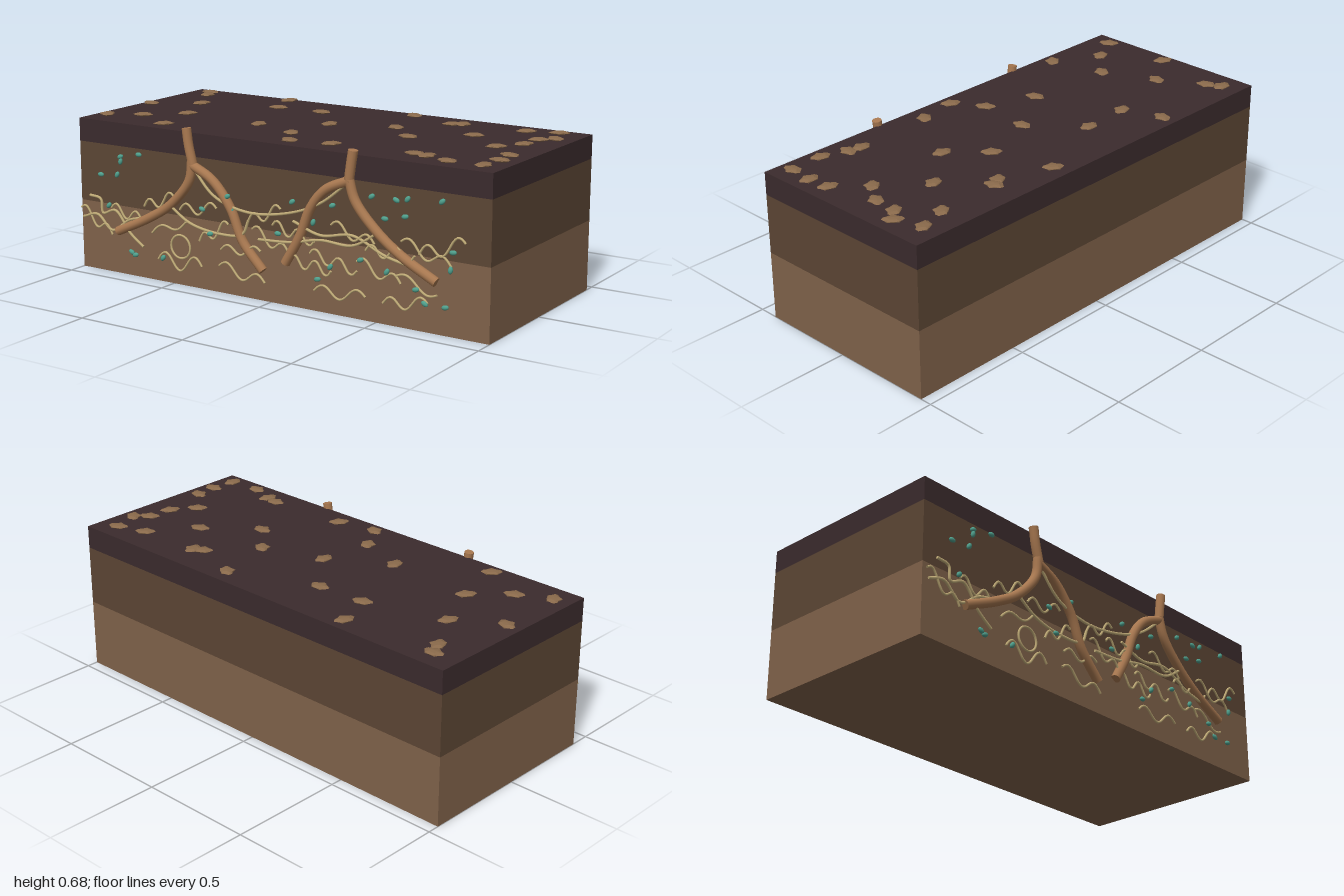
import * as THREE from 'three';

const mat = (name, color) => {
  const m = new THREE.MeshStandardMaterial({ color });
  m.name = name;
  return m;
};

export function createModel() {
  const model = new THREE.Group();
  model.name = 'soilBlock';
  const topsoil = mat('dark topsoil', 0x3b2b2d);
  const midsoil = mat('brown soil', 0x5c4634);
  const subsoil = mat('light subsoil', 0x80624a);
  const litter = mat('leaf litter', 0x8a6a4b);
  const bark = mat('root bark', 0xa87850);
  const thread = mat('pale fungus', 0xc2ad78);
  const teal = mat('teal microbe', 0x4f9f8c);

  const add = (name, geometry, material, parent = model) => {
    const mesh = new THREE.Mesh(geometry, material);
    mesh.name = name;
    parent.add(mesh);
    return mesh;
  };
  const group = (name) => {
    const g = new THREE.Group();
    g.name = name;
    model.add(g);
    return g;
  };

  // Soil layers, stacked from the bottom
  for (const [name, y0, y1, m] of [
    ['subsoilLayer', 0, 0.3, subsoil],
    ['middleLayer', 0.3, 0.56, midsoil],
    ['topsoilLayer', 0.56, 0.66, topsoil],
  ]) {
    add(name, new THREE.BoxGeometry(2, y1 - y0, 0.865), m).position.set(0, (y0 + y1) / 2, -0.0175);
  }

  // Leaf litter: flat ragged flakes [x, z, yaw]
  const flakeGeo = new THREE.IcosahedronGeometry(1, 1);
  const p = flakeGeo.attributes.position;
  for (let i = 0; i < p.count; i++) {
    const a = Math.atan2(p.getZ(i), p.getX(i));
    const r = 1 + 0.13 * Math.sin(5 * a) + 0.08 * Math.cos(8 * a);
    p.setXYZ(i, p.getX(i) * r * 0.042, p.getY(i) * 0.008, p.getZ(i) * r * 0.029);
  }
  flakeGeo.computeVertexNormals();
  const flakes = group('leafLitter');
  [
    [-0.89, -0.37, 0], [-0.86, -0.31, 1.9], [-0.46, -0.39, 1.3], [-0.75, -0.12, 1.2], [-0.4, -0.22, 0.3],
    [-0.18, -0.23, 0], [-0.94, 0, -0.4], [-0.65, 0.11, 0.9], [-0.79, 0.24, 0.4], [-0.93, 0.31, -1],
    [-0.59, 0.35, 0.7], [-0.25, 0.14, 1.8], [-0.03, 0.22, -1], [0, -0.02, 1.57], [0.2, -0.38, -0.6],
    [0.43, -0.3, 0.5], [0.47, -0.32, 1.8], [0.27, -0.11, -0.7], [0.41, 0.03, -0.1], [0.23, 0.32, 0.9],
    [0.05, 0.35, -0.5], [0.62, -0.14, 0.3], [0.76, -0.33, 0.6], [0.89, -0.37, 0.4], [0.93, -0.25, -0.7],
    [0.88, -0.2, 0.6], [0.87, -0.09, 1.1], [0.8, 0.01, 0.7], [0.92, 0.13, -0.3], [0.93, 0.23, 0],
    [0.6, 0.3, 0], [0.66, 0.31, 1.4], [0.77, 0.35, -0.2], [0.92, 0.34, 1.57],
  ].forEach(([x, z, yaw]) => {
    const flake = add('leafFlake', flakeGeo, litter, flakes);
    flake.position.set(x, 0.669, z);
    flake.rotation.y = yaw;
  });

  // Tube with closed ends through [x, y] points on the front face
  const strand = (name, pts, z, r, m, parent, sides, steps) => {
    const path = new THREE.CatmullRomCurve3(pts.map(([x, y]) => new THREE.Vector3(x, y, z)));
    add(name, new THREE.TubeGeometry(path, steps, r, sides), m, parent);
    for (const t of [0, 1]) {
      const cap = add(name + 'End', new THREE.CircleGeometry(r, sides), m, parent);
      const at = path.getPoint(t);
      cap.position.copy(at);
      cap.lookAt(at.clone().addScaledVector(path.getTangent(t), t ? 1 : -1));
    }
  };

  // Two forked roots
  const roots = group('roots');
  [
    [[-0.41, 0.68], [-0.4, 0.61], [-0.38, 0.53]],
    [[-0.385, 0.55], [-0.4, 0.46], [-0.5, 0.345], [-0.62, 0.27], [-0.79, 0.19]],
    [[-0.39, 0.53], [-0.28, 0.475], [-0.19, 0.37], [-0.13, 0.24], [-0.03, 0.13]],
    [[0.4, 0.68], [0.39, 0.62], [0.38, 0.55]],
    [[0.39, 0.56], [0.27, 0.505], [0.2, 0.42], [0.15, 0.3], [0.08, 0.18]],
    [[0.38, 0.57], [0.41, 0.48], [0.51, 0.37], [0.62, 0.29], [0.775, 0.21]],
  ].forEach((pts) => strand('root', pts, 0.427, 0.02, bark, roots, 12, 28));

  // Long fungal threads linking the roots
  const fungi = group('fungalThreads');
  [
    [[-0.38, 0.52], [-0.27, 0.41], [-0.1, 0.365], [0.1, 0.39], [0.25, 0.45], [0.38, 0.55]],
    [[-0.5, 0.34], [-0.4, 0.28], [-0.25, 0.255], [-0.13, 0.27], [-0.1, 0.33]],
    [[-0.05, 0.26], [0.1, 0.27], [0.25, 0.3], [0.4, 0.3], [0.52, 0.37]],
    [[0.12, 0.36], [0.25, 0.32], [0.4, 0.34], [0.55, 0.28], [0.7, 0.25]],
    [[-0.98, 0.23], [-0.9, 0.25], [-0.82, 0.19], [-0.72, 0.25], [-0.62, 0.27]],
    [[-0.94, 0.33], [-0.88, 0.32], [-0.87, 0.26], [-0.8, 0.28], [-0.72, 0.19], [-0.65, 0.14]],
  ].forEach((pts) => strand('longThread', pts, 0.43, 0.006, thread, fungi, 6, 36));

  // Short wavy threads [x0, y0, x1, y1, amplitude, waves]
  [
    [-0.99, 0.27, -0.82, 0.17, 0.025, 1.5], [-0.82, 0.29, -0.66, 0.26, 0.025, 1.5],
    [-0.64, 0.32, -0.48, 0.38, 0.025, 1.5], [-0.57, 0.1, -0.34, 0.1, 0.035, 1.5],
    [-0.6, 0.21, -0.42, 0.28, 0.02, 1], [-0.45, 0.33, -0.26, 0.36, 0.025, 1.5],
    [-0.35, 0.21, -0.2, 0.3, 0.025, 1.5], [-0.25, 0.12, -0.02, 0.08, 0.025, 1.5],
    [-0.24, 0.19, -0.04, 0.21, 0.02, 1.5], [-0.1, 0.33, 0.06, 0.4, 0.025, 1.5],
    [-0.08, 0.3, 0.1, 0.22, 0.025, 1.5], [0.02, 0.33, 0.22, 0.29, 0.025, 2],
    [0.1, 0.2, 0.3, 0.18, 0.025, 2], [0.22, 0.09, 0.46, 0.1, 0.025, 1.5],
    [0.2, 0.24, 0.42, 0.2, 0.025, 2], [0.3, 0.37, 0.5, 0.32, 0.025, 1.5],
    [0.42, 0.24, 0.62, 0.18, 0.025, 1.5], [0.46, 0.29, 0.68, 0.3, 0.025, 2],
    [0.54, 0.09, 0.74, 0.12, 0.025, 1.5], [0.6, 0.21, 0.78, 0.16, 0.02, 1],
    [0.7, 0.31, 0.9, 0.38, 0.03, 1.5], [0.62, 0.35, 0.84, 0.28, 0.025, 1.5],
  ].forEach(([x0, y0, x1, y1, amp, waves]) => {
    const pts = Array.from({ length: 13 }, (_, i) => {
      const t = i / 12;
      return [x0 + (x1 - x0) * t, y0 + (y1 - y0) * t + amp * Math.sin(t * waves * 2 * Math.PI)];
    });
    strand('wavyThread', pts, 0.43, 0.005, thread, fungi, 6, 28);
  });
  add('threadLoop', new THREE.TorusGeometry(0.05, 0.005, 6, 28), thread, fungi).position.set(-0.45, 0.17, 0.43);

  // Microbes: small teal ovals [x, y, tilt]
  const microbes = group('microbes');
  const ovalGeo = new THREE.SphereGeometry(1, 12, 8).scale(0.016, 0.01, 0.008);
  [
    [-0.87, 0.43, 0], [-0.78, 0.44, 1], [-0.76, 0.5, 1.3], [-0.76, 0.52, 0.4], [-0.66, 0.54, 0], [-0.83, 0.3, 0.8],
    [-0.71, 0.11, -0.5], [-0.69, 0.1, 0.3], [-0.54, 0.11, 0.9], [-0.29, 0.25, 0.2], [-0.2, 0.42, 0.5], [-0.18, 0.36, 1],
    [-0.33, 0.35, -0.3], [0.12, 0.44, 0.6], [0.05, 0.3, 0], [0.22, 0.37, 1.2], [0.24, 0.14, 0.2], [0.3, 0.2, 0.9],
    [0.31, 0.45, 0.4], [0.49, 0.51, 0.6], [0.55, 0.43, 0], [0.6, 0.51, -0.4], [0.65, 0.52, 0.9], [0.64, 0.45, 0.2],
    [0.8, 0.53, 0.7], [0.69, 0.17, 0.2], [0.73, 0.12, -0.5], [0.82, 0.12, 0.2], [0.85, 0.34, 0.1], [0.84, 0.27, 1.4],
    [0.44, 0.25, 0.4], [0.56, 0.22, 1],
  ].forEach(([x, y, tilt]) => {
    const oval = add('microbe', ovalGeo, teal, microbes);
    oval.position.set(x, y, 0.436);
    oval.rotation.z = tilt;
  });

  return model;
}
